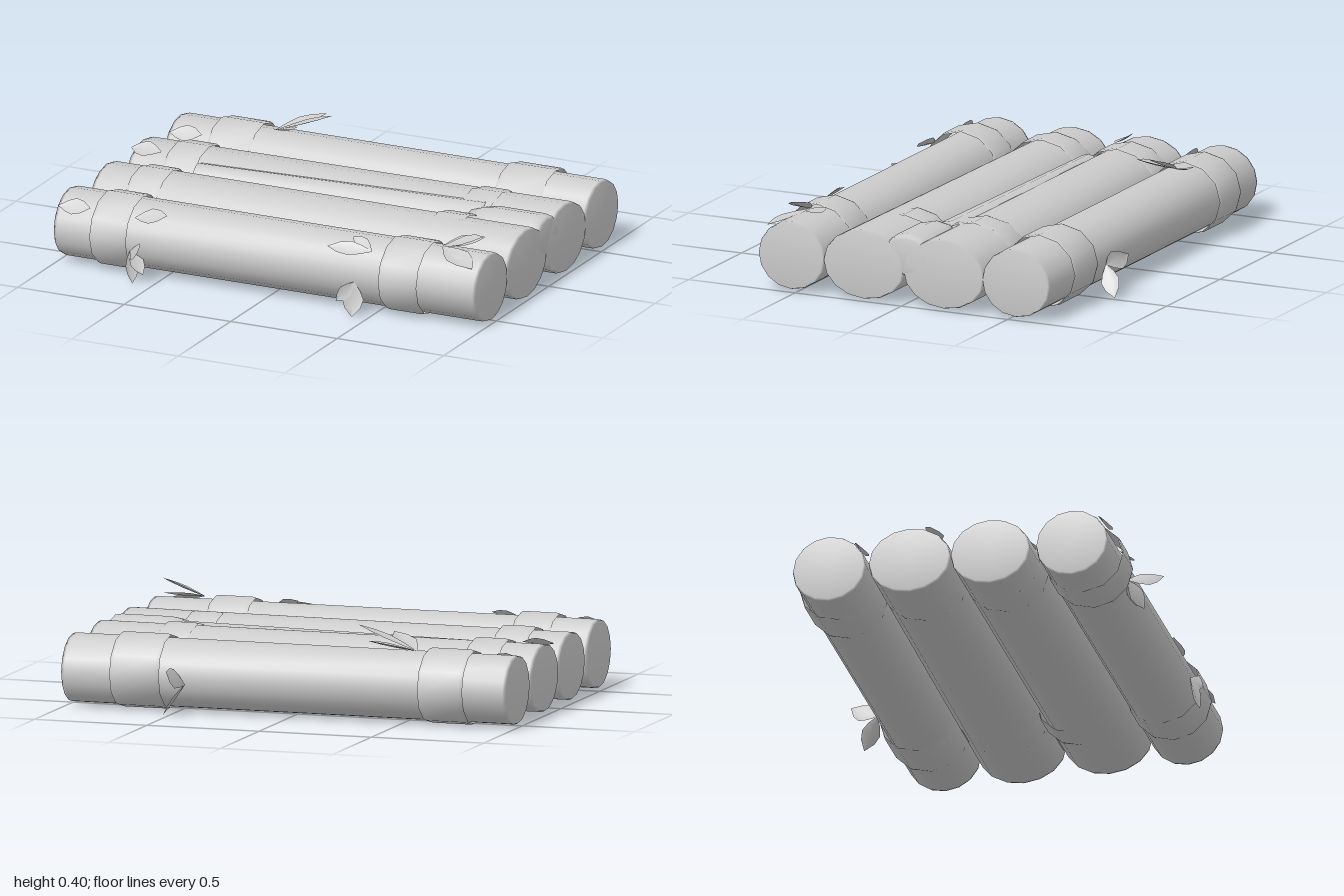
import * as THREE from 'three';
import { mergeVertices } from 'three/addons/utils/BufferGeometryUtils.js';

const wood = new THREE.MeshStandardMaterial({ color: 0xcccccc, side: THREE.DoubleSide });
wood.name = 'plainGrey';

// Turned body along x: profile of [x, radius scale]; y and z radii and centre may change from end to end
function turned(name, profile, { z, y = 0.166, rz, ry = 0.147, sides = 16 }) {
  const pair = (v) => (Array.isArray(v) ? v : [v, v]);
  const [za, zb] = pair(z), [ya, yb] = pair(y), [rza, rzb] = pair(rz), [rya, ryb] = pair(ry);
  const x0 = profile[0][0], x1 = profile[profile.length - 1][0];
  let geo = new THREE.LatheGeometry(profile.map(([x, r]) => new THREE.Vector2(r, x)), sides);
  geo.rotateZ(-Math.PI / 2);
  const p = geo.attributes.position;
  for (let i = 0; i < p.count; i++) {
    const t = (p.getX(i) - x0) / (x1 - x0);
    const mix = THREE.MathUtils.lerp;
    p.setY(i, mix(ya, yb, t) + p.getY(i) * mix(rya, ryb, t));
    p.setZ(i, mix(za, zb, t) + p.getZ(i) * mix(rza, rzb, t));
  }
  geo.deleteAttribute('uv');
  geo.deleteAttribute('normal');
  geo = mergeVertices(geo, 1e-4);
  geo.computeVertexNormals();
  const mesh = new THREE.Mesh(geo, wood);
  mesh.name = name;
  return mesh;
}

const logProfile = [[-0.99, 0], [-0.99, 0.97], [-0.975, 1], [0.975, 1], [0.99, 0.97], [0.99, 0]];

// Loose open sleeve, slightly narrowed at its edges
function sleeve(x0, x1, z, rz, ry = 0.16) {
  const e = 0.015;
  return turned('wrap', [[x0, 0.97], [x0 + e, 1], [x1 - e, 1], [x1, 0.97]], { z, y: 0.17, rz, ry, sides: 12 });
}

// Leaf folded along its midrib, from base to tip, its face turned towards "up"
function leaf(base, tip, width, up) {
  const a = new THREE.Vector3(...base), b = new THREE.Vector3(...tip);
  const dir = b.clone().sub(a);
  const side = new THREE.Vector3(...up).cross(dir).normalize();
  const lift = dir.clone().cross(side).normalize();
  const pos = [], idx = [];
  const rows = [[0, 0.05], [0.25, 0.65], [0.5, 1], [0.75, 0.75], [1, 0.02]];
  rows.forEach(([t, w], r) => {
    for (const s of [-1, 0, 1]) {
      const h = (Math.abs(s) * w * 0.12 - Math.sin(t * Math.PI) * 0.05) * width;
      const v = a.clone().addScaledVector(dir, t)
        .addScaledVector(side, s * w * width / 2).addScaledVector(lift, h);
      pos.push(v.x, v.y, v.z);
    }
    if (r === 0) return;
    for (let c = 0; c < 2; c++) {
      const i = (r - 1) * 3 + c;
      idx.push(i, i + 3, i + 1, i + 1, i + 3, i + 4);
    }
  });
  const geo = new THREE.BufferGeometry();
  geo.setAttribute('position', new THREE.Float32BufferAttribute(pos, 3));
  geo.setIndex(idx);
  geo.computeVertexNormals();
  const mesh = new THREE.Mesh(geo, wood);
  mesh.name = 'leaf';
  return mesh;
}

export function createModel() {
  const model = new THREE.Group();
  model.name = 'logRaft';

  // Four logs side by side
  model.add(
    turned('backLog', logProfile, { z: -0.53, rz: 0.158 }),
    turned('backMiddleLog', logProfile, { z: [-0.18, -0.19], rz: [0.178, 0.19], ry: [0.145, 0.15] }),
    turned('frontMiddleLog', logProfile, { z: [0.17, 0.185], rz: [0.172, 0.19], ry: [0.145, 0.15] }),
    turned('frontLog', logProfile, { z: 0.525, rz: 0.155 }),
  );

  // Slim pole lying in the middle gap, ending in a thick stub
  model.add(
    turned('middlePole', [[-0.67, 0], [-0.67, 1], [0.66, 1], [0.66, 0]],
      { z: [-0.05, -0.07], y: [0.235, 0.228], rz: [0.055, 0.095], ry: [0.055, 0.083], sides: 12 }),
    turned('middleStub', [[0.62, 0], [0.63, 0.7], [0.69, 0.93], [0.73, 1], [0.95, 1], [0.98, 0.93], [0.99, 0.8], [0.99, 0]],
      { z: -0.013, y: 0.226, rz: 0.117, ry: 0.092, sides: 12 }),
  );

  // Wraps near both ends of every log
  const wraps = new THREE.Group();
  wraps.name = 'wraps';
  [
    [-0.80, -0.60, -0.537, 0.17], [0.55, 0.77, -0.537, 0.17],
    [-0.83, -0.68, -0.18, 0.182, 0.156], [0.55, 0.69, -0.185, 0.19, 0.155],
    [-0.83, -0.68, 0.175, 0.178, 0.156], [0.55, 0.69, 0.14, 0.165, 0.152],
    [-0.81, -0.64, 0.535, 0.173], [0.54, 0.72, 0.532, 0.168],
  ].forEach((w) => wraps.add(sleeve(...w)));
  model.add(wraps);

  // Sprigs: a base, a facing direction and the leaf tips with widths
  const sprigs = [
    ['backTopSprig', [-0.54, 0.31, -0.53], [0, 1, 0],
      [[-0.37, 0.365, -0.67], 0.09], [[-0.28, 0.41, -0.53], 0.08], [[-0.40, 0.37, -0.41], 0.1]],
    ['backSideSprig', [0.44, 0.14, -0.685], [1, 0, -0.4],
      [[0.48, 0.21, -0.81], 0.09], [[0.51, 0.02, -0.76], 0.08]],
    ['frontLeftSprig', [-0.63, 0.13, 0.68], [1, 0, 0.5],
      [[-0.53, 0.18, 0.81], 0.08], [[-0.59, 0.01, 0.74], 0.07], [[-0.56, 0.04, 0.70], 0.07]],
    ['frontLeftUpperSprig', [-0.62, 0.27, 0.65], [0, 1, 0.7],
      [[-0.47, 0.30, 0.65], 0.08]],
    ['frontRightSprig', [0.42, 0.15, 0.68], [0.6, 0, 1],
      [[0.43, 0.01, 0.72], 0.09], [[0.37, 0.08, 0.75], 0.06]],
    ['frontRightUpperSprig', [0.48, 0.28, 0.63], [0, 1, 0.8],
      [[0.28, 0.28, 0.645], 0.07], [[0.37, 0.315, 0.58], 0.06]],
    ['frontTopSprig', [0.77, 0.32, 0.54], [0, 1, 0.2],
      [[0.91, 0.345, 0.42], 0.09], [[0.96, 0.39, 0.54], 0.09], [[0.96, 0.28, 0.65], 0.11]],
    ['backEndLeaf', [-0.98, 0.27, -0.41], [0, 1, 0.9], [[-0.83, 0.28, -0.41], 0.08]],
    ['middleEndLeaf', [-0.86, 0.30, -0.085], [0, 1, 0.5], [[-1.0, 0.30, -0.085], 0.09]],
    ['frontEndLeaf', [-0.98, 0.27, 0.65], [0, 1, 0.9], [[-0.83, 0.28, 0.65], 0.08]],
  ];
  for (const [name, base, up, ...leaves] of sprigs) {
    const sprig = new THREE.Group();
    sprig.name = name;
    for (const [tip, width] of leaves) sprig.add(leaf(base, tip, width, up));
    model.add(sprig);
  }
  return model;
}
